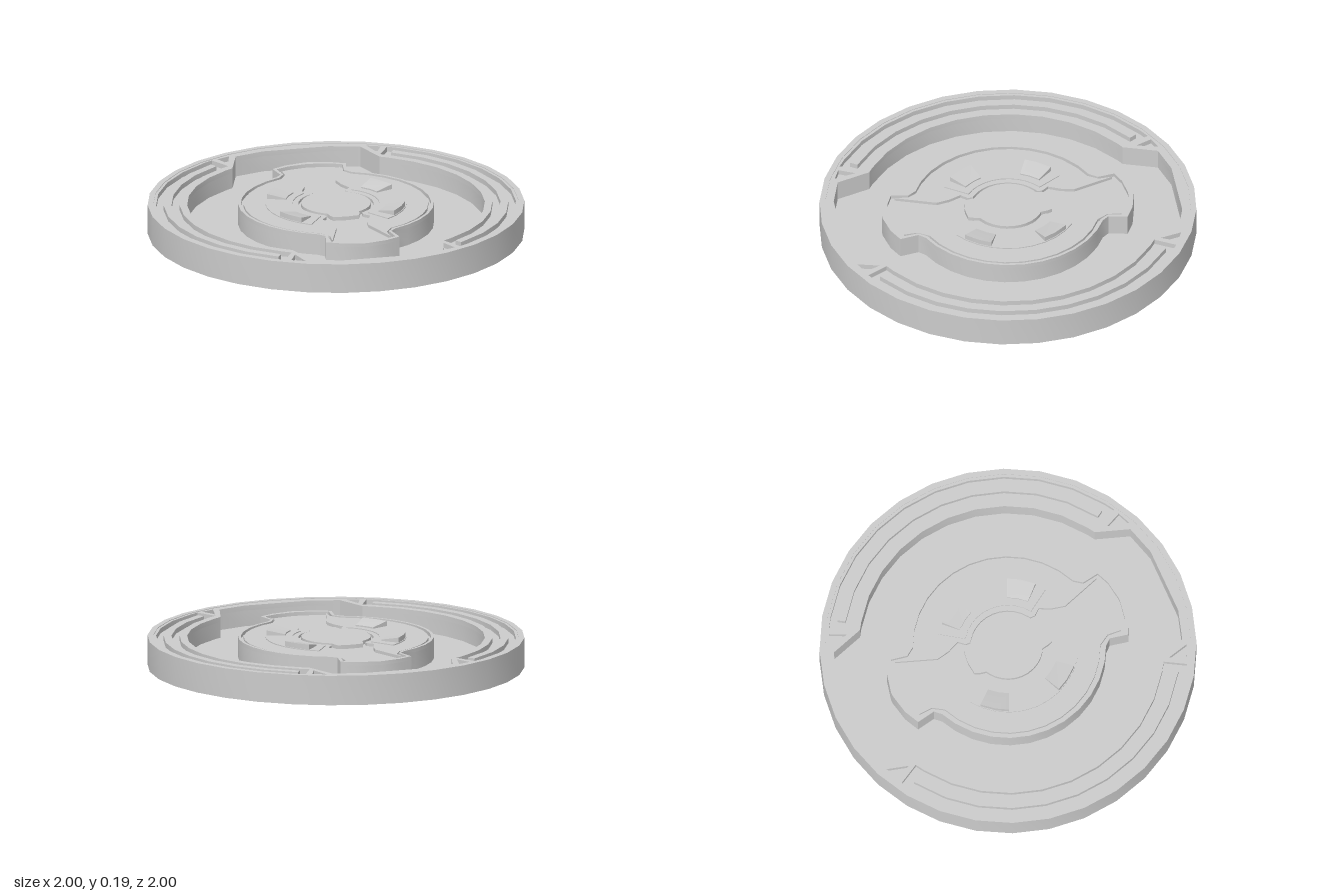
import * as THREE from 'three';
import { toCreasedNormals } from 'three/addons/utils/BufferGeometryUtils.js';

const material = new THREE.MeshStandardMaterial({ color: 0xcccccc });
const STEP = 11.25; // facet angle shared by all round edges

// Points along an arc in degrees, with corners on multiples of STEP
function arc(r, from, to) {
  const angles = [from];
  const dir = Math.sign(to - from);
  for (let k = -32; k <= 64; k++) {
    const a = dir * k * STEP;
    if ((a - from) * dir > 1 && (to - a) * dir > 1) angles.push(a);
  }
  angles.push(to);
  return angles.map((a) => {
    const t = THREE.MathUtils.degToRad(a);
    return [r * Math.cos(t), r * Math.sin(t)];
  });
}

const circle = (r) => arc(r, 0, 360 - STEP);
const flip = (pts, sx, sy) => pts.map(([x, y]) => [x * sx, y * sy]);
const band = (r0, r1, a0, a1) => [...arc(r1, a0, a1), ...arc(r0, a1, a0)];
const vectors = (pts) => pts.map(([x, y]) => new THREE.Vector2(x, y));

// Closed outline from its right half (listed upwards)
const mirrored = (half) => [...half, ...flip(half, -1, 1).reverse()];

// Outline with side arcs and a tab at each end; tab is listed from the arc to the middle
function tabbed(r, angle, tab) {
  return mirrored([
    ...flip(tab, 1, -1).reverse(), ...arc(r, -angle, angle), ...tab,
  ]);
}

function mesh(name, geometry) {
  const m = new THREE.Mesh(toCreasedNormals(geometry, 0.5), material);
  m.name = name;
  return m;
}

// Flat plate between two heights, with optional openings
function slab(name, outline, y0, y1, holes = []) {
  const shape = new THREE.Shape(vectors(outline));
  shape.holes = holes.map((h) => new THREE.Path(vectors(h)));
  const g = new THREE.ExtrudeGeometry(shape, { depth: y1 - y0, bevelEnabled: false });
  g.rotateX(-Math.PI / 2);
  g.translate(0, y0, 0);
  return mesh(name, g);
}

// Curved wedge, tall at its outer edge and sloping down to the middle
function wedge(name, sx, sz) {
  const g = new THREE.ExtrudeGeometry(
    new THREE.Shape(vectors(flip(band(0.27, 0.37, 23, 47), sx, sz))),
    { depth: 1, bevelEnabled: false },
  );
  g.rotateX(-Math.PI / 2);
  const p = g.attributes.position;
  for (let i = 0; i < p.count; i++) {
    const r = Math.hypot(p.getX(i), p.getZ(i));
    const top = r > 0.32 ? 0.188 : 0.168;
    p.setY(i, p.getY(i) > 0.5 ? top : 0.15);
  }
  g.computeVertexNormals();
  return mesh(name, g);
}

export function createModel() {
  const model = new THREE.Group();
  const floor = 0.045;

  // Dish: underside, outer wall, thin lip and trough floor
  const profile = [[0, 0], [1, 0], [1, 0.16], [0.97, 0.16], [0.97, floor], [0, floor]];
  model.add(mesh('dish', new THREE.LatheGeometry(vectors(profile), 32)));

  // Rim around the trough, with grooves and triangular pockets in its top
  const trough = mirrored([...arc(0.925, -90, -68.4), ...arc(0.79, -59.5, 59.5), ...arc(0.925, 68.4, 90)]
    .filter(([x]) => x > 0.001));
  const groove = band(0.83, 0.955, -60, 60);
  const pocket = [[0.445, 0.84], [0.375, 0.87], [0.405, 0.755]];
  const pockets = [];
  for (const sx of [1, -1]) {
    pockets.push(flip(groove, sx, 1));
    for (const sz of [1, -1]) pockets.push(flip(pocket, sx, sz));
  }
  model.add(slab('rimBase', circle(0.97), floor, 0.13, [trough]));
  model.add(slab('rimTop', circle(0.97), 0.13, 0.157, [trough, ...pockets]));

  // Raised rail inside each groove
  for (const sx of [1, -1]) {
    model.add(slab('rail', flip(band(0.873, 0.915, -57, 57), sx, 1), 0.13, 0.157));
  }

  // Central island with a raised border
  const islandOuter = tabbed(0.52, 66, [[0.18, 0.51], [0.2, 0.61], [0.12, 0.65], [0.01, 0.674]]);
  const islandInner = tabbed(0.505, 67, [[0.165, 0.51], [0.18, 0.6], [0.11, 0.63], [0.01, 0.645]]);
  model.add(slab('islandBase', islandOuter, floor, 0.14));
  model.add(slab('islandBorder', islandOuter, 0.14, 0.16, [islandInner]));

  // Side plates, leaving a tapered channel towards each tab
  const edge = [[0.155, 0.51], [0.16, 0.585], [0.085, 0.37], [0.1, 0.3], [0.13, 0.235], [0.1, 0.2]];
  const plate = [
    ...flip(edge, 1, -1).reverse(), ...arc(0.49, -67, 67), ...edge, ...arc(0.2, 60, -60),
  ];
  for (const sx of [1, -1]) {
    model.add(slab('sidePlate', flip(plate, sx, 1), 0.14, 0.156));
    model.add(slab('plateStep', flip(band(0.23, 0.375, -56, 56), sx, 1), 0.15, 0.161));
    for (const sz of [1, -1]) model.add(wedge('wedgeBlock', sx, sz));
  }

  // Hub disc with a short key at front and back
  const hub = tabbed(0.185, 62, [[0.08, 0.2], [0.07, 0.225], [0.01, 0.232]]);
  model.add(slab('hub', hub, 0.14, 0.161));

  return model;
}
